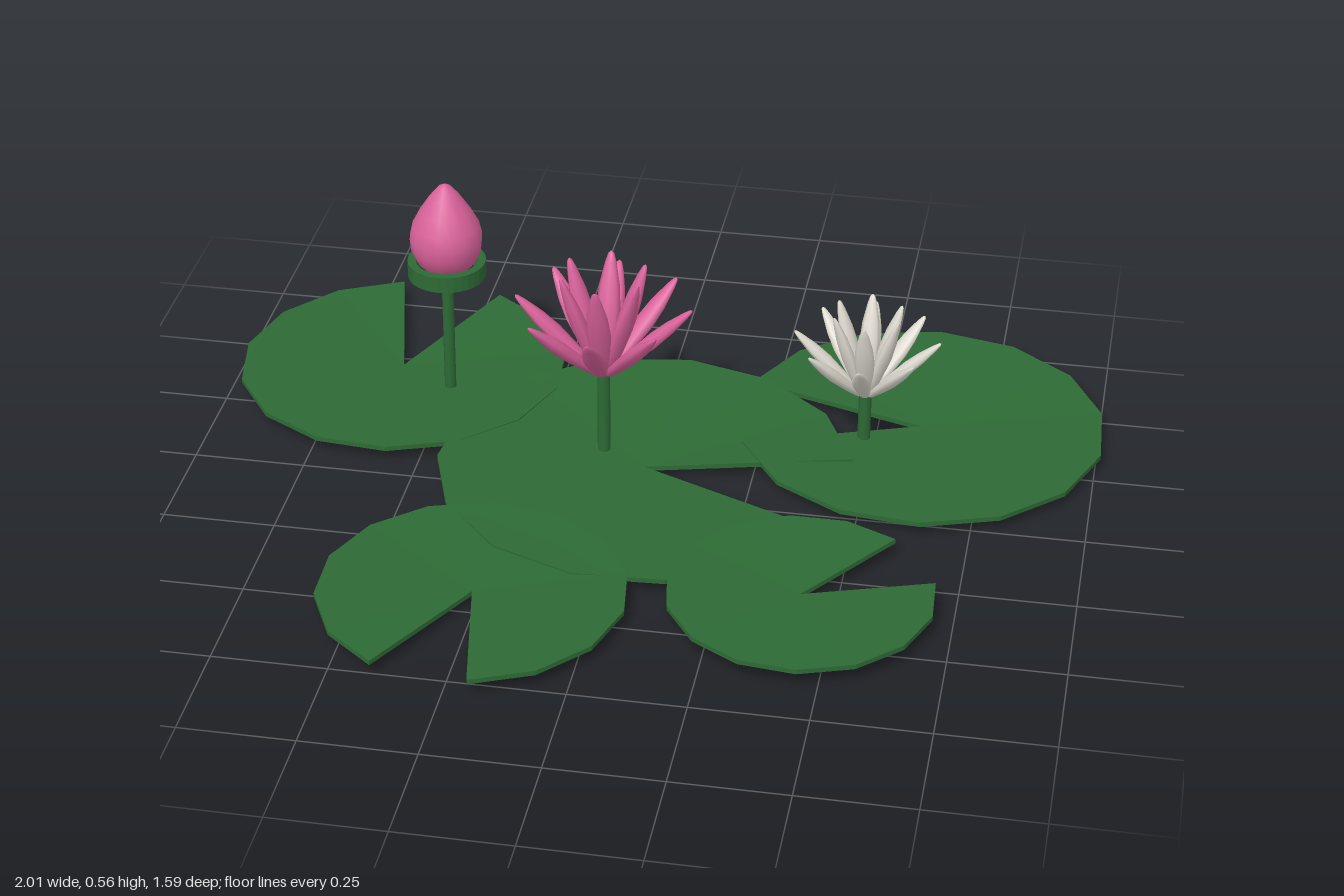
import * as THREE from 'three';

const mat = (name, color, side = THREE.FrontSide) => {
  const m = new THREE.MeshStandardMaterial({ color, side });
  m.name = name;
  return m;
};
const rad = THREE.MathUtils.degToRad;

// Slightly dished, notched disc: its outline is the notch centre plus an arc of rim points
function padGeometry(r, startDeg, thick = 0.011, dish = 0.01, segs = 13, sweep = 322.8) {
  const outline = [[0, 0, -dish]];
  for (let i = 0; i <= segs; i++) {
    const a = rad(startDeg + (sweep * i) / segs);
    outline.push([r * Math.cos(a), r * Math.sin(a), 0]);
  }
  const top = outline.map(([x, z, y]) => [x, y, z]);
  const bottom = outline.map(([x, z, y]) => [x, y - thick, z]);
  const pos = [];
  const tri = (...pts) => pts.forEach((p) => pos.push(...p));
  for (let i = 1; i <= segs; i++) {
    tri(top[0], top[i + 1], top[i]);
    tri(bottom[0], bottom[i], bottom[i + 1]);
  }
  outline.forEach((_, i) => {
    const j = (i + 1) % outline.length;
    tri(bottom[i], top[i], top[j]);
    tri(bottom[i], top[j], bottom[j]);
  });
  const g = new THREE.BufferGeometry();
  g.setAttribute('position', new THREE.Float32BufferAttribute(pos, 3));
  g.computeVertexNormals();
  return g;
}

const lathe = (points, segs) =>
  new THREE.LatheGeometry(points.map(([x, y]) => new THREE.Vector2(x, y)), segs);

export function createModel() {
  const green = mat('leafGreen', 0x2d6a35);
  const pink = mat('petalPink', 0xd9629a);
  const white = mat('petalWhite', 0xdedad0);
  const model = new THREE.Group();
  model.name = 'waterLilies';

  const add = (parent, name, geometry, material, x = 0, y = 0, z = 0) => {
    const m = new THREE.Mesh(geometry, material);
    m.name = name;
    m.position.set(x, y, z);
    parent.add(m);
    return m;
  };

  // Floating pads: x, z, radius, rim height, angle where the leaf starts after its notch
  [
    ['backRightPad', -0.62, -0.43, 0.38, 0.036, -66],
    ['backLeftPad', 0.6, -0.375, 0.417, 0.034, 195.7],
    ['middlePad', 0.012, -0.09, 0.465, 0.036, 25],
    ['frontRightPad', -0.26, 0.46, 0.333, 0.037, 116.6],
    ['frontLeftPad', 0.425, 0.357, 0.288, 0.044, -15.5],
  ].forEach(([name, x, z, r, y, start]) => add(model, name, padGeometry(r, start), green, x, y, z));

  const stem = (parent, h, r) =>
    add(parent, 'stem', new THREE.CylinderGeometry(r, r, h, 8), green, 0, h / 2, 0);

  // Unit-length petal, flattened towards the flower's axis
  const petal = lathe([[0, 0], [0.055, 0.02], [0.085, 0.25], [0.105, 0.5],
    [0.09, 0.7], [0.05, 0.9], [0.025, 0.98], [0, 1]], 8);
  petal.scale(0.65, 1, 1);

  // Rings of petals: count, first angle, tilt from upright, length, base radius
  const rings = [
    ['outerPetal', 8, 0, 46, 0.245, 0.022],
    ['innerPetal', 6, 30, 19, 0.262, 0.014],
  ];
  const flower = (name, x, z, base, scale, material) => {
    const g = new THREE.Group();
    g.name = name;
    g.position.set(x, 0, z);
    model.add(g);
    stem(g, base + 0.02, 0.0145);
    rings.forEach(([ringName, count, first, tilt, length, r0]) => {
      for (let i = 0; i < count; i++) {
        const holder = new THREE.Group();
        holder.name = ringName;
        holder.position.y = base;
        holder.rotation.y = rad(first + (360 * i) / count);
        holder.scale.setScalar(scale);
        g.add(holder);
        const p = add(holder, ringName, petal, material, r0, 0, 0);
        p.rotation.z = -rad(tilt);
        p.scale.setScalar(length);
      }
    });
  };
  flower('pinkFlower', -0.09, -0.145, 0.236, 1, pink);
  flower('whiteFlower', 0.478, -0.3, 0.148, 0.83, white);

  // Closed bud sitting in an open green collar
  const bud = new THREE.Group();
  bud.name = 'closedBud';
  bud.position.set(-0.49, 0, -0.35);
  model.add(bud);
  stem(bud, 0.345, 0.0135);
  add(bud, 'budPetals', lathe([[0, 0.335], [0.045, 0.342], [0.068, 0.365], [0.08, 0.395],
    [0.083, 0.425], [0.076, 0.455], [0.058, 0.49], [0.035, 0.525], [0.014, 0.55], [0, 0.557]], 16), pink);
  const collar = new THREE.Shape().absarc(0, 0, 0.089, 0, Math.PI * 2);
  collar.holes.push(new THREE.Path().absarc(0, 0, 0.07, 0, Math.PI * 2, true));
  const collarGeometry = new THREE.ExtrudeGeometry(collar, { depth: 0.038, bevelEnabled: false, curveSegments: 16 });
  collarGeometry.rotateX(-Math.PI / 2);
  add(bud, 'budCollar', collarGeometry, green, 0, 0.326, 0);

  return model;
}
